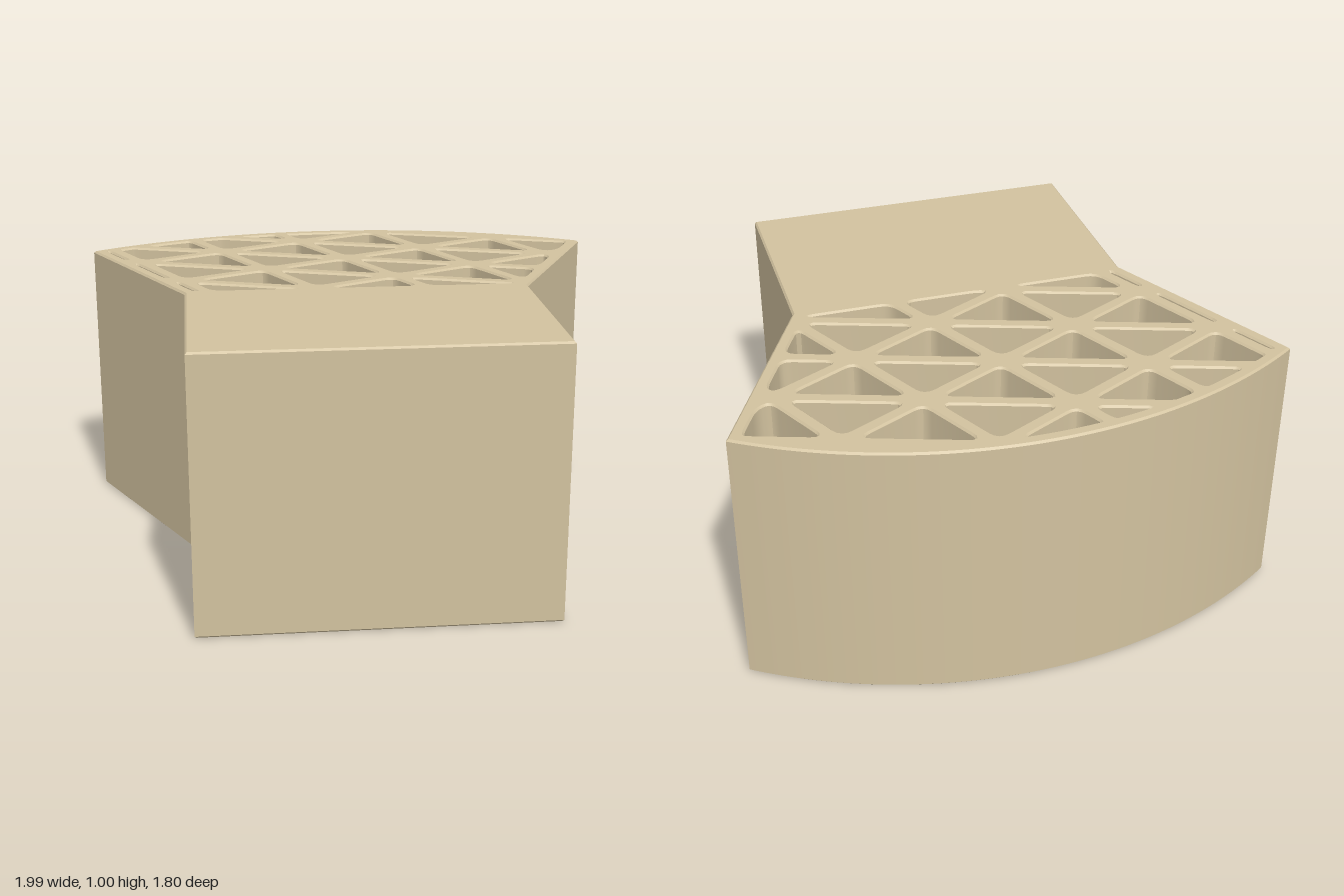
import * as THREE from 'three';
import { toCreasedNormals } from 'three/addons/utils/BufferGeometryUtils.js';

const V = (x, y) => new THREE.Vector2(x, y);
const HEIGHT = 1, BEVEL = 0.007;
const HALF_STRUT = 0.025, WALL = 0.045;
const ARC_RADIUS = 1.8, ARC_CENTRE = -0.9;
const material = new THREE.MeshStandardMaterial({ color: 0xd2c29f });

// Plan coordinates: x is model x, y points to the back (-z).
const shoulder = V(0.632, -0.13), tip = V(0.995, 0.6);

function arcPoints(radius, halfAngle, n) {
  return Array.from({ length: n + 1 }, (_, i) => {
    const a = halfAngle * (1 - (2 * i) / n);
    return V(radius * Math.sin(a), ARC_CENTRE + radius * Math.cos(a));
  });
}

// Keep the part of a convex polygon on the same side of line a-b as "inside", held off by "inset".
function clip(poly, a, b, inside, inset) {
  const n = V(a.y - b.y, b.x - a.x).normalize();
  if (n.dot(inside.clone().sub(a)) < 0) n.negate();
  const dist = (p) => n.dot(p.clone().sub(a)) - inset;
  const out = [];
  poly.forEach((p, i) => {
    const q = poly[(i + 1) % poly.length], dp = dist(p), dq = dist(q);
    if (dp >= 0) out.push(p);
    if (dp * dq < 0) out.push(p.clone().lerp(q, dp / (dp - dq)));
  });
  return out;
}

// Opening with soft corners; gentle bends (the arc) are left as they are.
function roundedHole(poly, size) {
  const points = [];
  poly.forEach((p, i) => {
    const toPrev = poly[(i + poly.length - 1) % poly.length].clone().sub(p);
    const toNext = poly[(i + 1) % poly.length].clone().sub(p);
    const turn = Math.PI - Math.acos(THREE.MathUtils.clamp(toPrev.dot(toNext) / (toPrev.length() * toNext.length()), -1, 1));
    if (turn < 0.15) return points.push(p);
    const cut = (d) => p.clone().addScaledVector(d, Math.min(size / d.length(), 0.45));
    points.push(...new THREE.QuadraticBezierCurve(cut(toPrev), p, cut(toNext)).getPoints(4));
  });
  return new THREE.Path(points);
}

// Triangular openings: a tilted square grid with diagonals, trimmed by the inner wall line.
function latticeHoles() {
  const centre = V(0, 0.3);
  let inner = [...arcPoints(ARC_RADIUS - WALL, 0.7, 64), V(-1.3, -0.1), V(1.3, -0.1)];
  for (const s of [-1, 1]) {
    inner = clip(inner, V(s * shoulder.x, shoulder.y), V(s * tip.x, tip.y), centre, WALL);
  }
  const u = V(0.321, 0.161), v = V(0.161, -0.321), origin = V(0.002, 0.39);
  const node = (i, j) => origin.clone().addScaledVector(u, i).addScaledVector(v, j);
  const holes = [];
  for (let i = -6; i <= 6; i++) {
    for (let j = -6; j <= 6; j++) {
      for (const third of [node(i + 1, j), node(i, j + 1)]) {
        const tri = [node(i, j), node(i + 1, j + 1), third];
        const mid = tri[0].clone().add(tri[1]).add(tri[2]).divideScalar(3);
        let poly = inner;
        tri.forEach((p, k) => { poly = clip(poly, p, tri[(k + 1) % 3], mid, HALF_STRUT); });
        if (poly.length > 2 && Math.abs(THREE.ShapeUtils.area(poly)) > 0.0006) {
          holes.push(roundedHole(poly, 0.04));
        }
      }
    }
  }
  return holes;
}

export function createModel() {
  const group = new THREE.Group();
  group.name = 'fanBlock';

  // Solid rectangular front running into the flared, arched lattice at the back
  const outline = new THREE.Shape([
    V(-shoulder.x, -0.9), V(shoulder.x, -0.9), shoulder.clone(),
    ...arcPoints(ARC_RADIUS, Math.asin(tip.x / ARC_RADIUS), 64),
    V(-shoulder.x, shoulder.y),
  ]);
  outline.holes.push(...latticeHoles());

  const geometry = new THREE.ExtrudeGeometry(outline, {
    depth: HEIGHT - 2 * BEVEL, bevelEnabled: true, bevelSegments: 1,
    bevelThickness: BEVEL, bevelSize: BEVEL, bevelOffset: -BEVEL,
  });
  geometry.rotateX(-Math.PI / 2).translate(0, BEVEL, 0);

  const body = new THREE.Mesh(toCreasedNormals(geometry, 0.45), material);
  body.name = 'blockWithLattice';
  group.add(body);
  return group;
}
